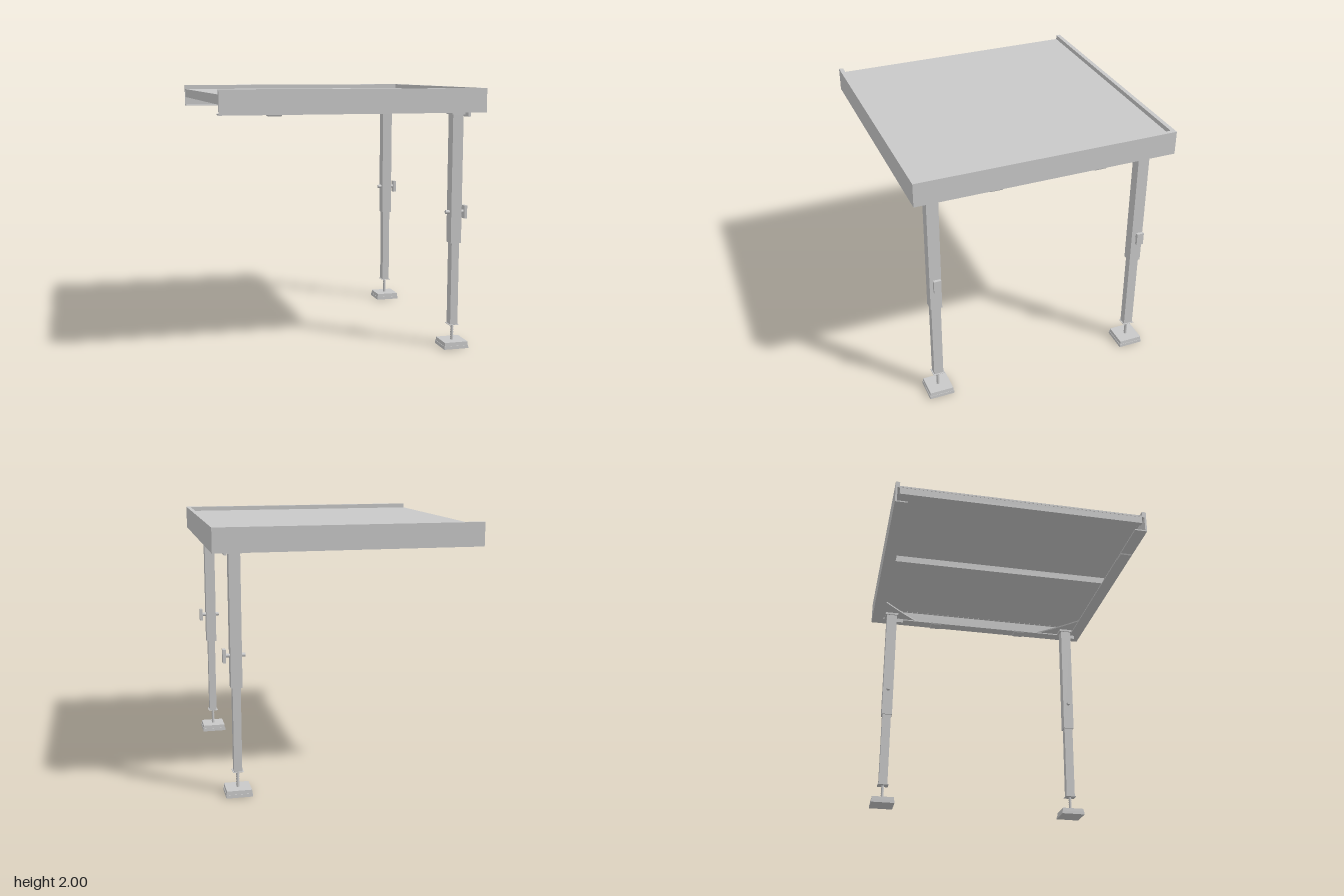
import * as THREE from 'three';

const steel = new THREE.MeshStandardMaterial({ color: 0xc8c8c8 });
steel.name = 'steel grey';

function add(parent, name, geometry, x = 0, y = 0, z = 0) {
  const mesh = new THREE.Mesh(geometry, steel);
  mesh.name = name;
  mesh.position.set(x, y, z);
  parent.add(mesh);
  return mesh;
}

// Box given by its lowest and highest corners
function box(parent, name, [x0, y0, z0], [x1, y1, z1]) {
  const geometry = new THREE.BoxGeometry(x1 - x0, y1 - y0, z1 - z0);
  return add(parent, name, geometry, (x0 + x1) / 2, (y0 + y1) / 2, (z0 + z1) / 2);
}

// Square block with sloping sides
function taperedBlock(bottom, top, height) {
  const g = new THREE.CylinderGeometry(top * Math.SQRT1_2, bottom * Math.SQRT1_2, height, 4)
    .rotateY(Math.PI / 4).toNonIndexed();
  g.computeVertexNormals();
  return g;
}

// Plan shape (x, z) raised from y0 to y1
function raise(shape, y0, y1) {
  return new THREE.ExtrudeGeometry(shape, { depth: y1 - y0, bevelEnabled: false })
    .rotateX(Math.PI / 2).translate(0, y1, 0);
}

// Horizontal U running round three sides, open towards -x
function uBand(width, y0, y1) {
  const i = 1 - width;
  const points = [[-1, -1], [1, -1], [1, 1], [-1, 1], [-1, i], [i, i], [i, -i], [-1, -i]];
  return raise(new THREE.Shape(points.map(([x, y]) => new THREE.Vector2(x, y))), y0, y1);
}

// Corner plate with a hollow curved inner edge; side is +1 front, -1 back
function gusset(side) {
  const shape = new THREE.Shape();
  shape.moveTo(0.99, side * 0.99);
  shape.lineTo(0.5, side * 0.99);
  shape.quadraticCurveTo(0.77, side * 0.77, 0.99, side * 0.5);
  return raise(shape, 1.83, 1.842);
}

// Leg centred on its own x = z = 0
function makeLeg() {
  const leg = new THREE.Group();
  box(leg, 'outerTube', [-0.042, 0.82, -0.045], [0.042, 1.815, 0.045]);
  box(leg, 'innerTube', [-0.03, 0.178, -0.037], [0.03, 0.825, 0.037]);
  box(leg, 'tubeEndPlate', [-0.04, 0.176, -0.046], [0.04, 0.179, 0.046]);

  // Mounting plate and its latch
  box(leg, 'mountingPlate', [-0.053, 1.803, -0.06], [0.053, 1.822, 0.055]);
  box(leg, 'latchPlate', [0.053, 1.787, -0.022], [0.073, 1.822, 0.11]);

  // Height locking bolt with knob
  add(leg, 'lockingBolt', new THREE.CylinderGeometry(0.015, 0.015, 0.15, 16).rotateZ(Math.PI / 2), 0.003, 1.058, 0);
  box(leg, 'lockingKnob', [0.072, 1.006, -0.028], [0.095, 1.106, 0.028]);

  // Threaded levelling rod
  const profile = [new THREE.Vector2(0, 0.04)];
  for (let i = 0; i <= 14; i++) profile.push(new THREE.Vector2(i % 2 ? 0.013 : 0.01, 0.04 + i * 0.01));
  profile.push(new THREE.Vector2(0, 0.18));
  add(leg, 'threadedRod', new THREE.LatheGeometry(profile, 16));

  // Foot pad
  add(leg, 'footBase', taperedBlock(0.198, 0.196, 0.024), 0, 0.012, 0);
  add(leg, 'footTop', taperedBlock(0.19, 0.186, 0.03), 0, 0.037, 0);
  return leg;
}

export function createModel() {
  const model = new THREE.Group();
  model.name = 'platformTable';

  // Channel rail round three sides: lip, thin wall and bottom flange
  add(model, 'railLip', uBand(0.033, 1.95, 2));
  add(model, 'railWall', uBand(0.015, 1.82, 1.951));
  add(model, 'railFlange', uBand(0.1, 1.82, 1.83));
  add(model, 'frontGusset', gusset(1));
  add(model, 'backGusset', gusset(-1));

  // Thin deck on cross beams
  box(model, 'deckPanel', [-1, 1.951, -0.968], [0.968, 1.965, 0.968]);
  for (const [name, x] of [['middleBeam', 0], ['edgeBeam', -0.98]]) {
    box(model, name, [x - 0.018, 1.895, -0.965], [x + 0.018, 1.952, 0.965]);
  }

  // Small pads under the rails
  for (const [x, z] of [[0.946, 0.4], [0.946, -0.4], [-0.6, 0.946]]) {
    add(model, 'railPad', taperedBlock(0.09, 0.1, 0.012), x, 1.816, z);
  }

  // Legs under the closed end
  for (const [name, z] of [['frontLeg', 0.83], ['backLeg', -0.828]]) {
    const leg = makeLeg();
    leg.name = name;
    leg.position.set(0.828, 0, z);
    model.add(leg);
  }
  return model;
}
